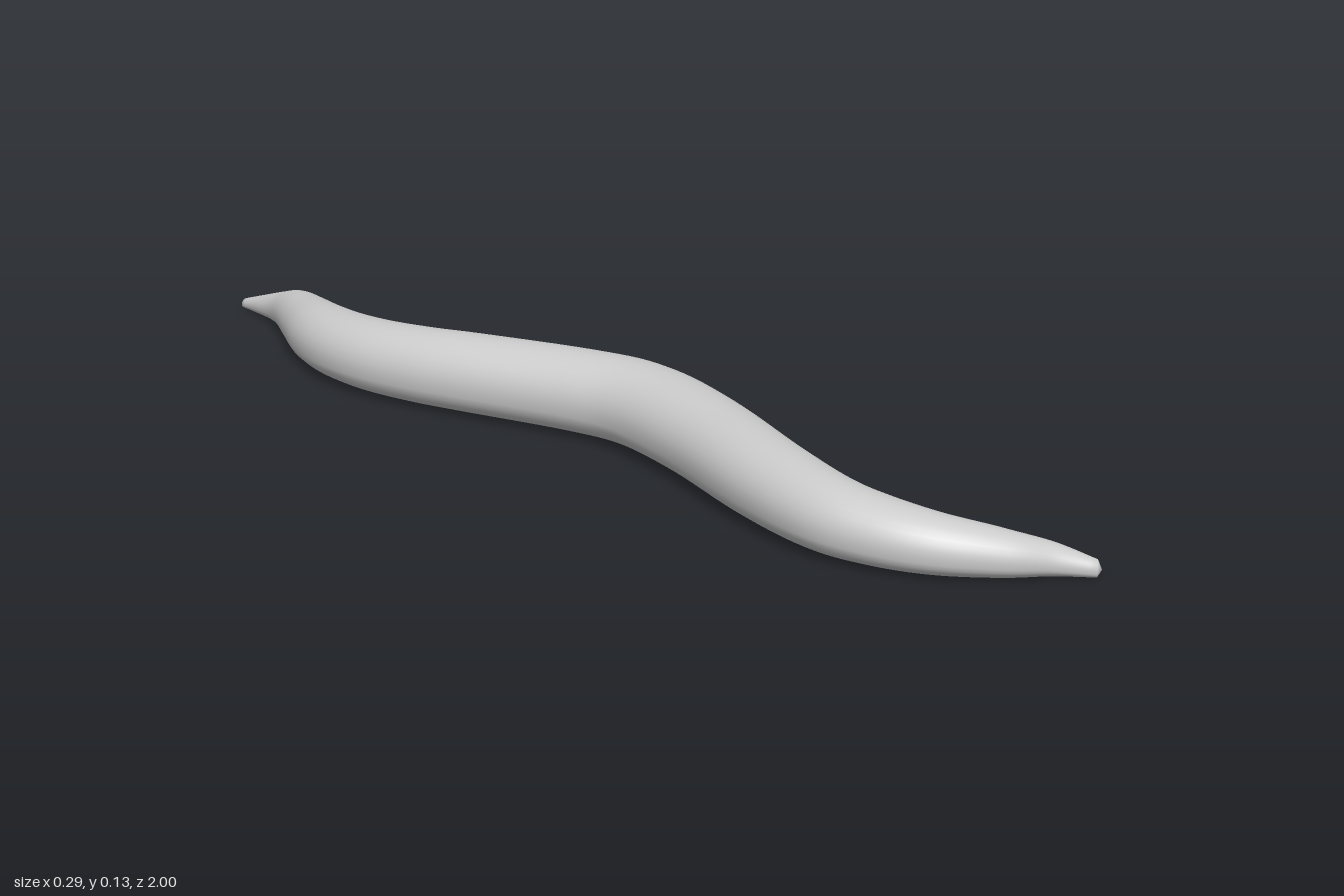
import * as THREE from 'three';

// Stations along the body: x, z, half width, height
const stations = [
  [0.055, -1.0, 0.011, 0.018],
  [0.057, -0.94, 0.024, 0.036],
  [0.052, -0.87, 0.034, 0.057],
  [0.034, -0.8, 0.044, 0.076],
  [-0.008, -0.7, 0.053, 0.092],
  [-0.048, -0.6, 0.062, 0.105],
  [-0.07, -0.5, 0.07, 0.112],
  [-0.073, -0.4, 0.074, 0.118],
  [-0.056, -0.3, 0.076, 0.123],
  [-0.026, -0.2, 0.078, 0.127],
  [0.04, 0.0, 0.081, 0.13],
  [0.06, 0.13, 0.083, 0.13],
  [0.027, 0.3, 0.079, 0.125],
  [-0.037, 0.5, 0.073, 0.117],
  [-0.07, 0.65, 0.067, 0.106],
  [-0.062, 0.74, 0.062, 0.096],
  [-0.032, 0.82, 0.053, 0.084],
  [0.025, 0.89, 0.042, 0.067],
  [0.08, 0.936, 0.03, 0.047],
  [0.12, 0.988, 0.013, 0.025],
];

const RINGS = 120;
const SIDES = 32;

// Oval cross-section with a flattened belly resting on the ground
function sectionPoint(angle, halfWidth, height) {
  const c = Math.cos(angle), s = Math.sin(angle);
  const belly = s < 0;
  const x = Math.sign(c) * Math.pow(Math.abs(c), belly ? 0.75 : 1) * halfWidth;
  const mid = height * 0.44;
  const y = belly ? mid - mid * Math.pow(-s, 0.75) : mid + (height - mid) * s;
  return [x, y];
}

function bodyGeometry() {
  const path = new THREE.CatmullRomCurve3(
    stations.map(([x, z]) => new THREE.Vector3(x, 0, z)), false, 'catmullrom', 0.5);
  const size = new THREE.CatmullRomCurve3(
    stations.map(([, , w, h]) => new THREE.Vector3(w, h, 0)), false, 'catmullrom', 0.5);
  const positions = [], index = [];

  // Rings swept along the winding path
  for (let i = 0; i <= RINGS; i++) {
    const t = i / RINGS;
    const p = path.getPoint(t), dir = path.getTangent(t), s = size.getPoint(t);
    for (let j = 0; j < SIDES; j++) {
      const [u, y] = sectionPoint((j / SIDES) * Math.PI * 2, s.x, s.y);
      positions.push(p.x + dir.z * u, y, p.z - dir.x * u);
    }
  }
  for (let i = 0; i < RINGS; i++) {
    for (let j = 0; j < SIDES; j++) {
      const k = (j + 1) % SIDES;
      const a = i * SIDES + j, b = i * SIDES + k;
      index.push(a, b, a + SIDES, b, b + SIDES, a + SIDES);
    }
  }

  // Small blunt caps at tail and head
  for (const [ring, station] of [[0, stations[0]], [RINGS, stations[stations.length - 1]]]) {
    const centre = positions.length / 3;
    positions.push(station[0], station[3] / 2, station[1] + (ring ? 0.008 : 0));
    for (let j = 0; j < SIDES; j++) {
      const a = ring * SIDES + j, b = ring * SIDES + ((j + 1) % SIDES);
      if (ring) index.push(centre, a, b);
      else index.push(centre, b, a);
    }
  }

  const geometry = new THREE.BufferGeometry();
  geometry.setAttribute('position', new THREE.Float32BufferAttribute(positions, 3));
  geometry.setIndex(index);
  geometry.computeVertexNormals();
  return geometry;
}

export function createModel() {
  const group = new THREE.Group();
  group.name = 'worm';
  const body = new THREE.Mesh(bodyGeometry(), new THREE.MeshStandardMaterial({ color: 0xcccccc }));
  body.name = 'wormBody';
  group.add(body);
  return group;
}
